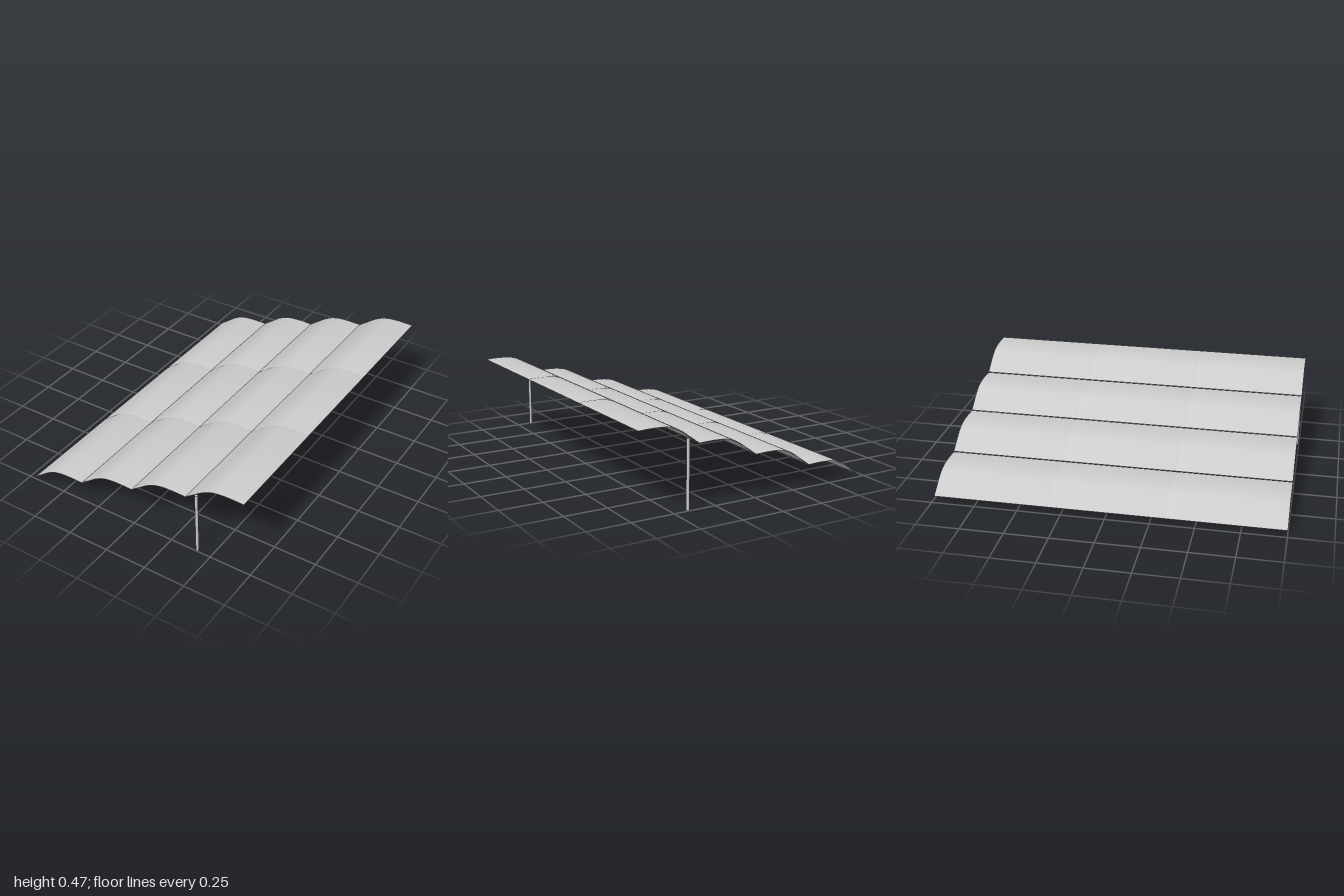
import * as THREE from 'three';
import { toCreasedNormals } from 'three/addons/utils/BufferGeometryUtils.js';

const COLS = 4, ROWS = 3;
const STEP_X = 0.3535, STEP_Y = 0.1128, STEP_Z = 2 / 3;
const THICK = 0.006, SEGMENTS = 20;

// One thin curved panel: closed cross-sections lofted along z, thinned at the rims
function panelGeometry() {
  const curve = new THREE.SplineCurve([
    [0, 0.017], [0.05, 0.052], [0.1, 0.088], [0.15, 0.113], [0.2, 0.125],
    [0.25, 0.1285], [0.3, 0.1285], [STEP_X, 0.1265],
  ].map(([x, y]) => new THREE.Vector2(x, y)));
  const mid = curve.getPoints(SEGMENTS);
  const half = STEP_Z / 2;
  const sections = [[-half, 0.2], [-half + 0.014, 1], [half - 0.014, 1], [half, 0.2]];
  const ringSize = 2 * (SEGMENTS + 1);
  const positions = [], index = [];

  for (const [z, scale] of sections) {
    const top = [], bottom = [];
    mid.forEach((p, i) => {
      const end = i === 0 || i === SEGMENTS ? 0.25 : 1;
      const t = curve.getTangent(i / SEGMENTS);
      const h = (THICK / 2) * scale * end;
      top.push([p.x - t.y * h, p.y + t.x * h, z]);
      bottom.unshift([p.x + t.y * h, p.y - t.x * h, z]);
    });
    positions.push(...[...top, ...bottom].flat());
  }
  // Skin between neighbouring sections
  for (let s = 0; s < sections.length - 1; s++) {
    for (let i = 0; i < ringSize; i++) {
      const a = s * ringSize + i, b = s * ringSize + (i + 1) % ringSize;
      index.push(a, a + ringSize, b, b, a + ringSize, b + ringSize);
    }
  }
  // End caps
  const last = (sections.length - 1) * ringSize;
  for (let i = 0; i < SEGMENTS; i++) {
    const a = i, b = i + 1, c = ringSize - 2 - i, d = ringSize - 1 - i;
    index.push(a, b, c, a, c, d);
    index.push(last + a, last + c, last + b, last + a, last + d, last + c);
  }
  const geometry = new THREE.BufferGeometry();
  geometry.setAttribute('position', new THREE.Float32BufferAttribute(positions, 3));
  geometry.setIndex(index);
  return toCreasedNormals(geometry, 0.22);
}

export function createModel() {
  const model = new THREE.Group();
  model.name = 'canopy';
  const material = new THREE.MeshStandardMaterial({ color: 0xcccccc, side: THREE.DoubleSide });

  // Stepped roof: each column of panels rises above the previous one
  const roof = new THREE.Group();
  roof.name = 'roof';
  const panel = panelGeometry();
  for (let c = 0; c < COLS; c++) {
    for (let r = 0; r < ROWS; r++) {
      const mesh = new THREE.Mesh(panel, material);
      mesh.name = 'roofPanel';
      mesh.position.set((c - COLS / 2) * STEP_X, c * STEP_Y, (r - (ROWS - 1) / 2) * STEP_Z);
      roof.add(mesh);
    }
  }
  model.add(roof);

  // Slim round posts under the high side
  const postGeometry = new THREE.CylinderGeometry(0.009, 0.009, 0.385, 16);
  for (const side of [-1, 1]) {
    const post = new THREE.Mesh(postGeometry, material);
    post.name = side > 0 ? 'frontPost' : 'backPost';
    post.position.set(0.413, 0.1925, side * 0.99);
    model.add(post);
  }
  return model;
}
